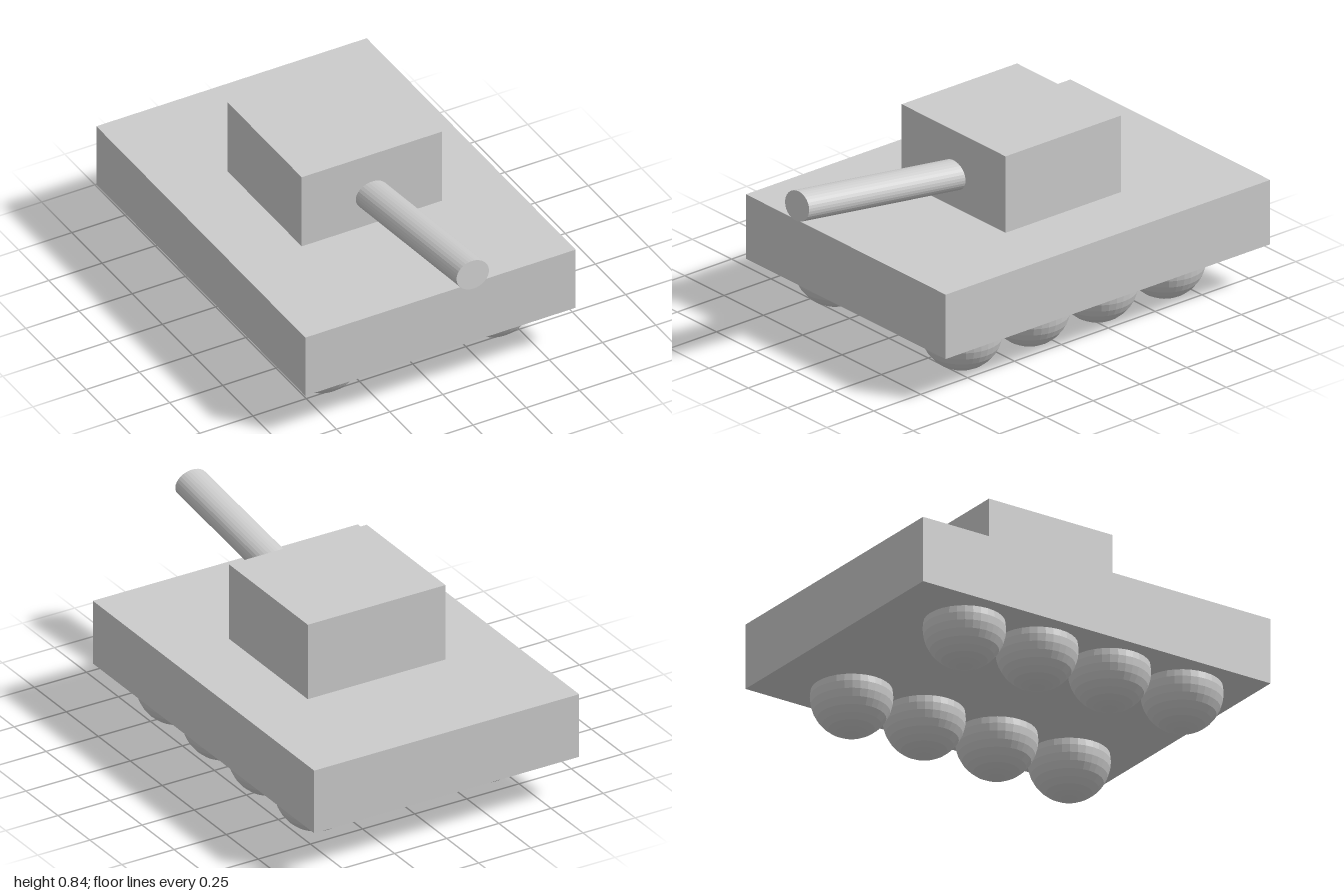
import * as THREE from 'three';

const material = new THREE.MeshStandardMaterial({ color: 0xcccccc, flatShading: true });

function addPart(parent, name, geometry, x, y, z) {
  const mesh = new THREE.Mesh(geometry, material);
  mesh.name = name;
  mesh.position.set(x, y, z);
  parent.add(mesh);
  return mesh;
}

export function createModel() {
  const model = new THREE.Group();
  model.name = 'tank';

  // Slab hull and the box turret on top of it
  addPart(model, 'hull', new THREE.BoxGeometry(1.27, 0.29, 1.73), 0, 0.348, -0.135);
  addPart(model, 'turret', new THREE.BoxGeometry(0.66, 0.345, 0.615), 0.003, 0.665, -0.15);

  // Raised gun barrel, slightly wider than it is tall, rooted inside the turret
  const muzzle = new THREE.Vector3(0.003, 0.746, 0.992);
  const root = new THREE.Vector3(0.003, 0.628, 0.08);
  const axis = muzzle.clone().sub(root);
  const barrel = addPart(model, 'barrel',
    new THREE.CylinderGeometry(0.064, 0.064, axis.length(), 32),
    ...muzzle.clone().add(root).multiplyScalar(0.5).toArray());
  barrel.scale.x = 0.076 / 0.064;
  barrel.rotation.x = Math.atan2(axis.z, axis.y);

  // Two rows of four ball wheels, half sunk into the hull
  const wheels = new THREE.Group();
  wheels.name = 'wheels';
  model.add(wheels);
  const ball = new THREE.SphereGeometry(0.171, 32, 16);
  for (const side of [-1, 1]) {
    for (let i = 0; i < 4; i++) {
      addPart(wheels, side > 0 ? 'leftWheel' : 'rightWheel', ball, side * 0.403, 0.173, 0.45 - i * 0.361);
    }
  }
  return model;
}
